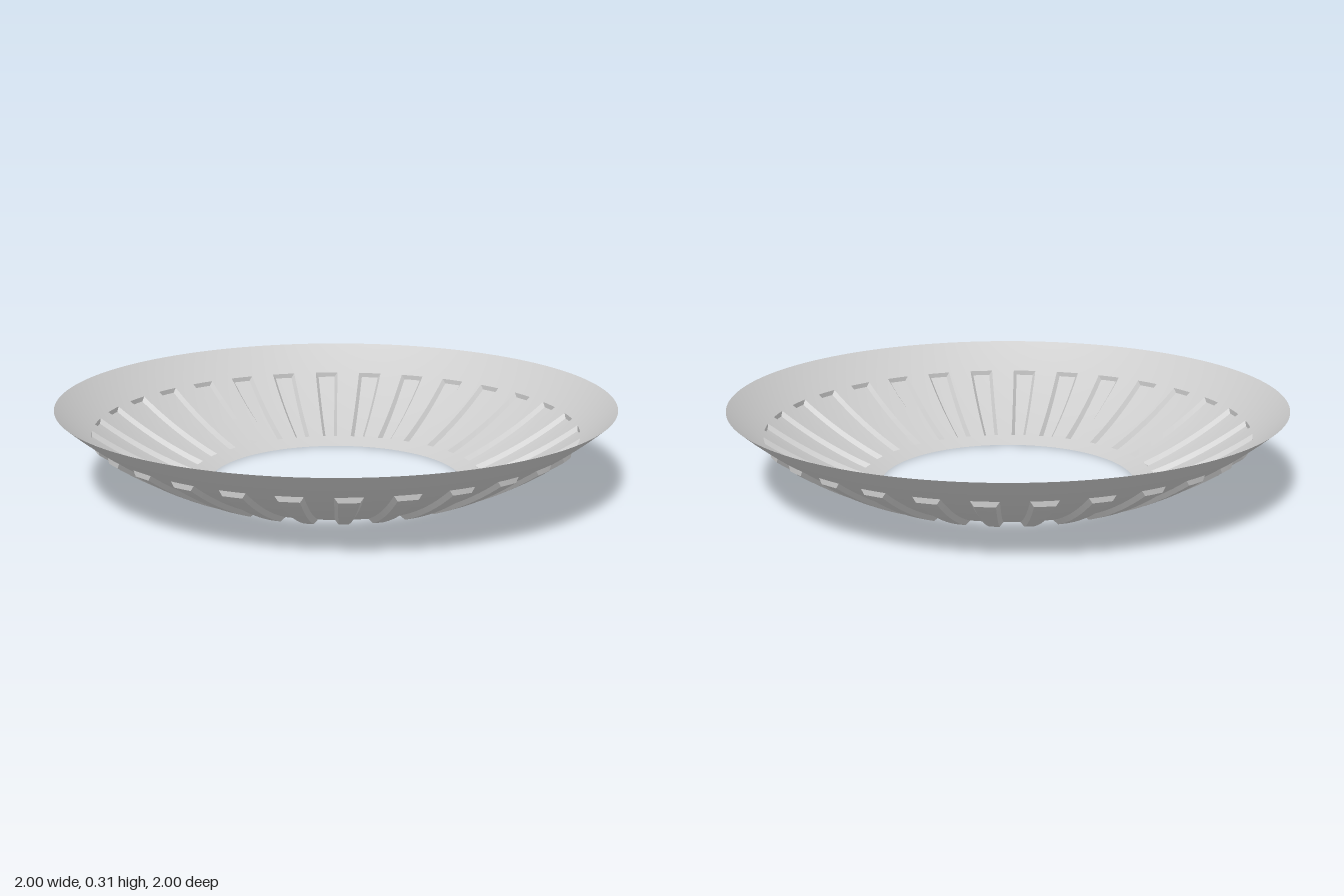
import * as THREE from 'three';
import { mergeGeometries } from 'three/addons/utils/BufferGeometryUtils.js';

const COUNT = 30;                 // pressed flutes around the ring
const STEP = Math.PI * 2 / COUNT;
const HOLE = 0.464, IN = 0.53, OUT = 0.875, RIM = 1;
const DEPTH = 0.018, DRAFT = 0.012;

// The dish follows part of a sphere
const R = 1.5;
const dishY = r => Math.sqrt(R * R - HOLE * HOLE) - Math.sqrt(R * R - r * r);
const lerp = THREE.MathUtils.lerp;
const onDish = (a, r, drop = 0) =>
  new THREE.Vector3(r * Math.cos(a), dishY(r) - drop, r * Math.sin(a));

// Grid surface from a rule f(u, v) -> Vector3
function patch(f, nu, nv) {
  const pos = [], index = [];
  for (let j = 0; j <= nv; j++)
    for (let i = 0; i <= nu; i++) pos.push(...f(i / nu, j / nv).toArray());
  for (let j = 0; j < nv; j++)
    for (let i = 0; i < nu; i++) {
      const a = j * (nu + 1) + i, b = a + nu + 1;
      index.push(a, a + 1, b, a + 1, b + 1, b);
    }
  const g = new THREE.BufferGeometry();
  g.setAttribute('position', new THREE.Float32BufferAttribute(pos, 3));
  g.setIndex(index);
  g.computeVertexNormals();
  return g;
}

// Smooth piece of the dish, with exact sphere normals
function dishPatch(a0, a1, r0, r1, nu, nv) {
  const g = patch((u, v) => onDish(lerp(a0, a1, u), lerp(r0, r1, v)), nu, nv);
  const p = g.attributes.position, n = g.attributes.normal;
  const centreY = Math.sqrt(R * R - HOLE * HOLE);
  for (let i = 0; i < p.count; i++)
    n.setXYZ(i, -p.getX(i) / R, (centreY - p.getY(i)) / R, -p.getZ(i) / R);
  return g;
}

// One flute pressed outwards: floor, two drafted sides, two end walls
function flute(a0, a1) {
  const top = (u, v) => onDish(lerp(a0, a1, u), lerp(IN, OUT, v));
  const floor = (u, v) => {
    const r = lerp(IN + 0.016, OUT, v), inset = DRAFT / r;
    return onDish(lerp(a0 + inset, a1 - inset, u), r, DEPTH);
  };
  const wall = (edge, n) => patch((s, t) => {
    const [u, v] = edge(s);
    return top(u, v).lerp(floor(u, v), t);
  }, n, 1);
  return [
    patch(floor, 4, 12),
    wall(s => [0, s], 12),
    wall(s => [1, 1 - s], 12),
    wall(s => [1 - s, 0], 4),
    wall(s => [s, 1], 4),
  ];
}

export function createModel() {
  const group = new THREE.Group();
  group.name = 'flutedRing';
  const material = new THREE.MeshStandardMaterial({ color: 0xcccccc, side: THREE.DoubleSide });
  const add = (name, parts) => {
    const mesh = new THREE.Mesh(mergeGeometries(parts), material);
    mesh.name = name;
    group.add(mesh);
  };

  // Plain bands at the hole and at the outer lip
  add('innerBand', [dishPatch(0, Math.PI * 2, HOLE, IN, COUNT * 8, 3)]);
  add('outerLip', [dishPatch(0, Math.PI * 2, OUT, RIM, COUNT * 8, 6)]);

  // Alternating flutes and flat lands between the bands
  const flutes = [], lands = [];
  for (let i = 0; i < COUNT; i++) {
    const a = i * STEP;
    flutes.push(...flute(a, a + STEP / 2));
    lands.push(dishPatch(a + STEP / 2, a + STEP, IN, OUT, 4, 12));
  }
  add('flutes', flutes);
  add('lands', lands);
  return group;
}
